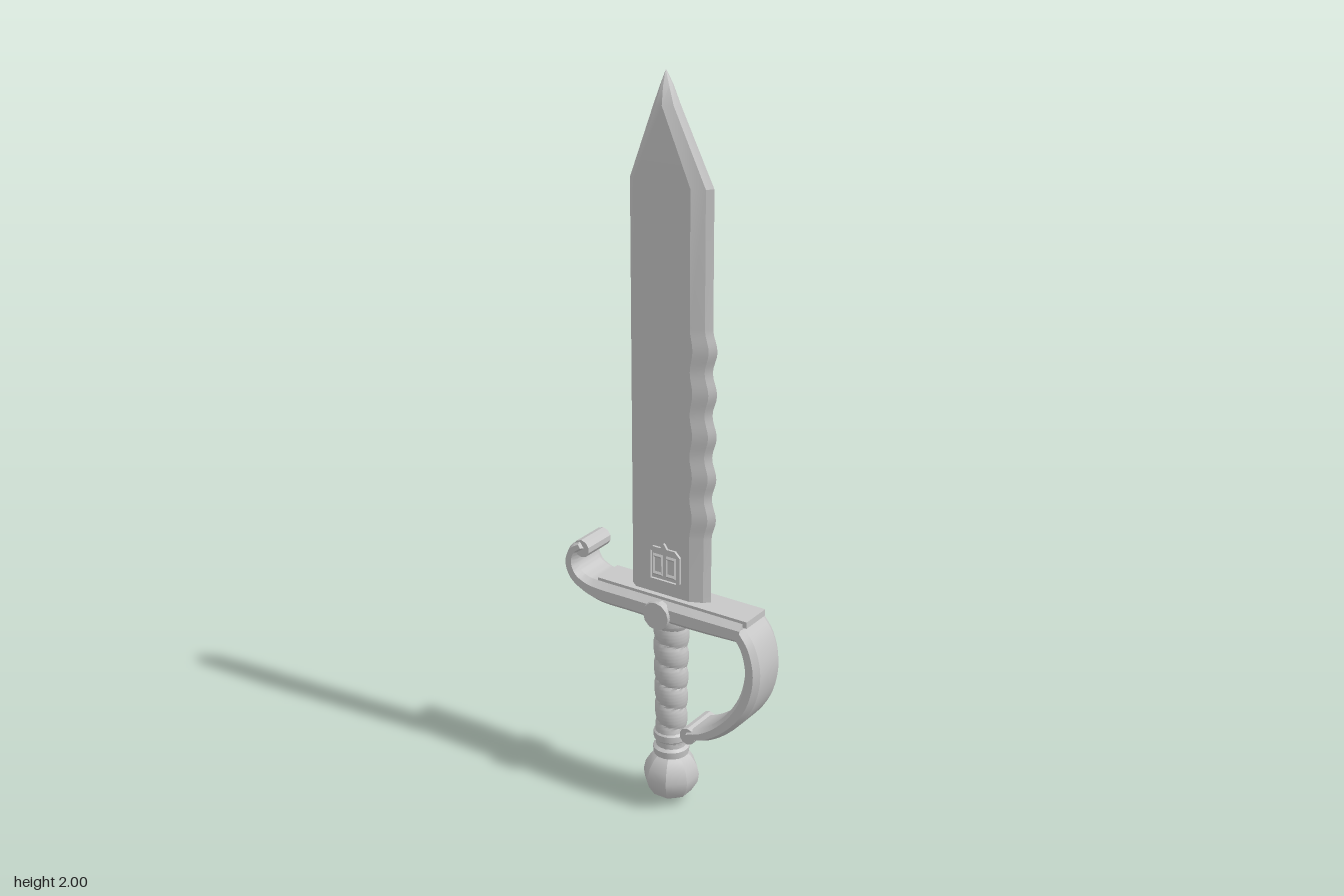
import * as THREE from 'three';
import { toCreasedNormals } from 'three/addons/utils/BufferGeometryUtils.js';

const steel = new THREE.MeshStandardMaterial({ color: 0xc7c7c7 });
steel.name = 'light grey steel';

function add(group, name, geometry, crease = 0.5) {
  const mesh = new THREE.Mesh(toCreasedNormals(geometry, crease), steel);
  mesh.name = name;
  group.add(mesh);
}

// Skin equal-sized rings (counter-clockwise around the travel direction) and cap both ends
function loft(rings) {
  const n = rings[0].length, index = [];
  for (let i = 0; i < rings.length - 1; i++) {
    for (let j = 0; j < n; j++) {
      const a = i * n + j, b = i * n + (j + 1) % n;
      index.push(a, b, b + n, a, b + n, a + n);
    }
  }
  const last = (rings.length - 1) * n;
  for (let j = 1; j < n - 1; j++) {
    index.push(0, j + 1, j, last, last + j, last + j + 1);
  }
  const geometry = new THREE.BufferGeometry();
  geometry.setAttribute('position', new THREE.Float32BufferAttribute(rings.flat(2), 3));
  geometry.setIndex(index);
  return geometry;
}

// Chamfered strap along an x/y path; each point is [x, y, half thickness]
function strap(points, halfWidth, steps) {
  const curve = new THREE.CatmullRomCurve3(points.map(p => new THREE.Vector3(...p)));
  const rings = [];
  for (let i = 0; i <= steps; i++) {
    const p = curve.getPoint(i / steps), t = curve.getTangent(i / steps);
    const len = Math.hypot(t.x, t.y), nx = -t.y / len, ny = t.x / len;
    const h = p.z, w = halfWidth, k = h * 0.5, c = w - 0.018;
    const section = [[h, -c], [h, c], [k, w], [-k, w], [-h, c], [-h, -c], [-k, -w], [k, -w]];
    rings.push(section.map(([n, z]) => [p.x + nx * n, p.y + ny * n, z]));
  }
  return loft(rings);
}

// Cylinder lying along z
function pin(r1, r2, length, sides) {
  return new THREE.CylinderGeometry(r1, r2, length, sides).rotateX(Math.PI / 2);
}

function bladeGeometry() {
  // Rows: y, left edge, left ridge, right ridge, right edge, half thickness
  const rows = [[0.62, -0.12, -0.092, 0.075, 0.124, 0.03]];
  for (let i = 0; i <= 40; i++) {
    const wave = 0.0065 * (1 - Math.cos(i / 40 * Math.PI * 10));
    rows.push([0.81 + i * 0.0142, -0.12, -0.092, 0.075 + wave * 0.6, 0.124 + wave, 0.03]);
  }
  rows.push(
    [1.73, -0.12, -0.092, 0.075, 0.124, 0.03],
    [1.92, -0.047, -0.026, -0.008, 0.027, 0.029],
    [1.965, -0.029, -0.018, -0.011, 0.005, 0.019],
    [2.0, -0.015, -0.015, -0.015, -0.015, 0.002]);
  return loft(rows.map(([y, l, lr, rr, r, t]) => {
    // Slightly convex bevels on both edges
    const rm = r + (rr - r) * 0.3, lm = l + (lr - l) * 0.3;
    return [
      [lr, y, t], [rr, y, t], [rm, y, t * 0.5], [r, y, 0], [rm, y, -t * 0.5],
      [rr, y, -t], [lr, y, -t], [lm, y, -t * 0.5], [l, y, 0], [lm, y, t * 0.5]];
  }));
}

function gripGeometry() {
  const geometry = new THREE.CylinderGeometry(0.046, 0.04, 0.37, 24, 72, true);
  const pos = geometry.attributes.position;
  for (let i = 0; i < pos.count; i++) {
    const x = pos.getX(i), y = pos.getY(i), z = pos.getZ(i);
    const phase = y / 0.062 + Math.atan2(x, z) / (Math.PI * 2);
    const f = phase - Math.floor(phase);
    // Broad rounded bands separated by narrow spiral grooves
    const s = 0.88 + 0.19 * Math.pow(Math.sin(f * Math.PI), 0.4);
    pos.setXYZ(i, x * s, y, z * s);
  }
  return geometry.translate(0, 0.365, 0);
}

// Ornament frame with one large opening
function ornamentGeometry() {
  const shape = new THREE.Shape([[-0.03, 0.66], [0.03, 0.66], [0.05, 0.675], [0.05, 0.75], [0.035, 0.765],
    [0.01, 0.765], [0, 0.78], [-0.01, 0.765], [-0.035, 0.765], [-0.05, 0.75], [-0.05, 0.675]]
    .map(p => new THREE.Vector2(...p)));
  shape.holes.push(new THREE.Path(
    [[-0.04, 0.673], [-0.04, 0.753], [0.04, 0.753], [0.04, 0.673]].map(p => new THREE.Vector2(...p))));
  return new THREE.ExtrudeGeometry(shape, { depth: 0.008, bevelEnabled: false });
}

export function createModel() {
  const model = new THREE.Group();
  model.name = 'sword';

  add(model, 'blade', bladeGeometry(), 0.3);

  // Crossguard bar running into the upturned hook
  add(model, 'crossguard', strap([
    [-0.253, 0.715, 0.012], [-0.278, 0.697, 0.015], [-0.29, 0.66, 0.018], [-0.275, 0.623, 0.021],
    [-0.24, 0.602, 0.024], [-0.2, 0.593, 0.03], [-0.1, 0.592, 0.031], [0.1, 0.592, 0.031],
    [0.25, 0.595, 0.028]], 0.063, 40));
  add(model, 'guardTopPlate', new THREE.BoxGeometry(0.467, 0.018, 0.09).translate(0.028, 0.622, 0));
  add(model, 'hookScroll', pin(0.025, 0.025, 0.1, 10).translate(-0.255, 0.704, 0));

  // Knuckle bow
  add(model, 'knuckleBow', strap([
    [0.237, 0.6, 0.022], [0.266, 0.56, 0.022], [0.282, 0.49, 0.023], [0.268, 0.41, 0.023],
    [0.232, 0.345, 0.022], [0.182, 0.293, 0.02], [0.135, 0.262, 0.018], [0.09, 0.247, 0.015]], 0.063, 28));
  add(model, 'bowScroll', pin(0.024, 0.024, 0.112, 10).translate(0.088, 0.245, 0));

  // Matching details on both faces
  for (const side of [1, -1]) {
    const face = new THREE.Group();
    face.name = side > 0 ? 'frontDetails' : 'backDetails';
    face.rotation.y = side > 0 ? 0 : Math.PI;
    add(face, 'guardBoss', pin(0.036, 0.032, 0.045, 12).translate(side * 0.003, 0.588, 0.053));
    add(face, 'bossCap', pin(0.039, 0.042, 0.006, 12).translate(side * 0.003, 0.588, 0.076));
    add(face, 'ornamentFrame', ornamentGeometry().translate(0, 0, 0.029));
    for (const x of [-0.02, 0.02]) {
      const frame = new THREE.TorusGeometry(0.018, 0.004, 4, 4).rotateZ(Math.PI / 4).scale(1, 2, 1);
      add(face, 'ornamentWindow', frame.translate(x, 0.713, 0.032));
    }
    model.add(face);
  }

  // Grip with ferrules
  add(model, 'grip', gripGeometry(), 0.6);
  const lathe = (pts, sides) => new THREE.LatheGeometry(
    pts.map(p => new THREE.Vector2(...p)), sides, Math.PI / sides);
  add(model, 'upperFerrule', lathe([[0, 0.53], [0.046, 0.53], [0.054, 0.545], [0.054, 0.565], [0, 0.565]], 16));
  add(model, 'lowerFerrule', lathe([[0, 0.145], [0.048, 0.145], [0.05, 0.165], [0.042, 0.172], [0.042, 0.188],
    [0.048, 0.194], [0.048, 0.212], [0.04, 0.22], [0, 0.22]], 16));

  // Faceted pommel
  add(model, 'pommel', lathe([[0, 0], [0.025, 0.008], [0.056, 0.027], [0.073, 0.055], [0.077, 0.08],
    [0.071, 0.108], [0.054, 0.135], [0.036, 0.148], [0, 0.148]], 8), 0.4);

  return model;
}
